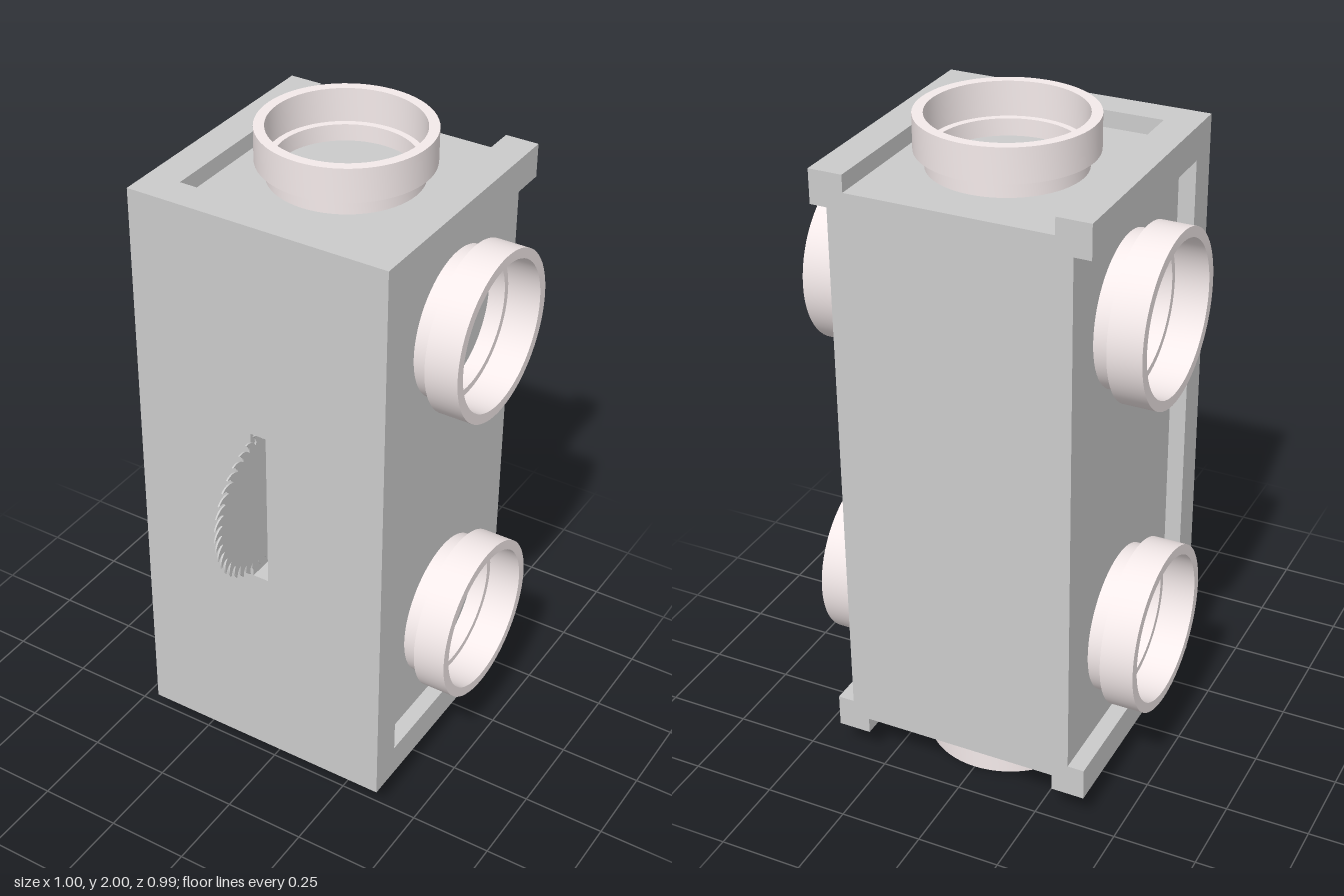
import * as THREE from 'three';
import { toCreasedNormals } from 'three/addons/utils/BufferGeometryUtils.js';

const grey = new THREE.MeshStandardMaterial({ color: 0xcccccc });
const pale = new THREE.MeshStandardMaterial({ color: 0xf4eaea });

const BACK = -0.495, FRONT = 0.305, MID_Y = 1;

export function createModel() {
  const model = new THREE.Group();

  const add = (name, geometry, material = grey) => {
    const mesh = new THREE.Mesh(geometry, material);
    mesh.name = name;
    model.add(mesh);
    return mesh;
  };

  // Upright slab with the blade slot cut through it
  const slottedSlab = (name, w, h, z0, z1) => {
    const rect = (target, a, b) => target
      .moveTo(-a, -b).lineTo(a, -b).lineTo(a, b).lineTo(-a, b).closePath();
    const shape = rect(new THREE.Shape(), w / 2, h / 2);
    shape.holes.push(rect(new THREE.Path(), 0.025, 0.25));
    const geo = new THREE.ExtrudeGeometry(shape, { depth: z1 - z0, bevelEnabled: false });
    add(name, geo).position.set(0, MID_Y, z0);
  };

  // Profile in (z, y) extruded across x, centred on x = 0
  const acrossX = (shape, width) => new THREE.ExtrudeGeometry(shape, { depth: width, bevelEnabled: false })
    .translate(0, 0, -width / 2).rotateY(-Math.PI / 2);

  // Body: core, front panel and four corner rails leave recesses open at the back
  add('coreBack', new THREE.BoxGeometry(0.7, 1.7, -BACK)).position.set(0, MID_Y, BACK / 2);
  slottedSlab('coreFront', 0.7, 1.7, 0, 0.205);
  slottedSlab('frontPanel', 0.8, 1.8, 0.205, FRONT);
  for (const sx of [-1, 1]) for (const sy of [-1, 1]) {
    add('cornerRail', new THREE.BoxGeometry(0.1, 0.1, 0.205 - BACK))
      .position.set(sx * 0.35, MID_Y + sy * 0.85, (0.205 + BACK) / 2);
  }

  // Faceted back wall of the slot
  const liner = new THREE.Shape([
    [0, -0.25], [0.15, -0.25], [0.005, -0.1], [0.005, 0.1], [0.15, 0.25], [0, 0.25],
  ].map(([z, y]) => new THREE.Vector2(z, y)));
  add('slotLiner', acrossX(liner, 0.05), pale).position.y = MID_Y;

  // Thin circular blade with hooked teeth
  const teeth = 40, tip = 0.24, root = 0.205;
  const bladeShape = new THREE.Shape();
  const polar = (r, a) => [r * Math.cos(a), r * Math.sin(a)];
  bladeShape.moveTo(...polar(root, 0));
  for (let i = 0; i < teeth; i++) {
    const step = (Math.PI * 2) / teeth, a = -i * step;
    bladeShape.quadraticCurveTo(...polar(0.235, a - step * 0.3), ...polar(tip, a - step * 1.1));
    bladeShape.quadraticCurveTo(...polar(0.222, a - step * 0.7), ...polar(root, a - step));
  }
  add('sawBlade', acrossX(bladeShape, 0.005)).position.set(-0.022, MID_Y, 0.255);

  // Stepped pipe sockets, rising from the recess floors
  const profile = [
    [0.22, 0], [0.22, 0.05], [0.25, 0.05], [0.25, 0.15],
    [0.22, 0.15], [0.22, 0.05], [0.2, 0.05], [0.2, 0],
  ].map(([r, h]) => new THREE.Vector2(r, h));
  const socketGeo = toCreasedNormals(new THREE.LatheGeometry(profile, 64), 0.6);
  const socket = (name, x, y, rotZ) => {
    const mesh = add(name, socketGeo, pale);
    mesh.position.set(x, y, -0.145);
    mesh.rotation.z = rotZ;
  };
  socket('topSocket', 0, 1.85, 0);
  socket('bottomSocket', 0, 0.15, Math.PI);
  for (const y of [0.5, 1.5]) {
    socket('leftSocket', 0.35, y, -Math.PI / 2);
    socket('rightSocket', -0.35, y, Math.PI / 2);
  }

  return model;
}
